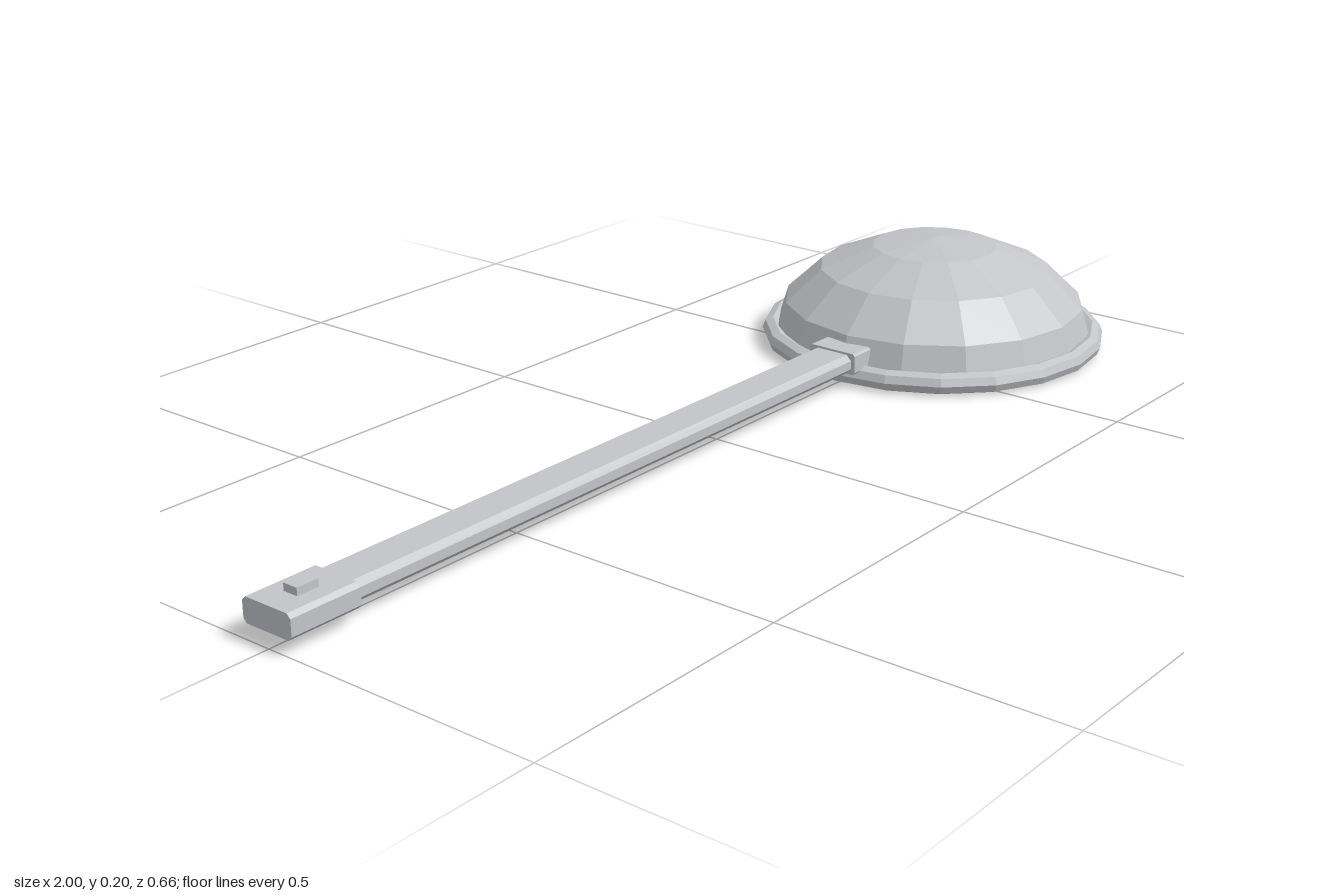
import * as THREE from 'three';

export function createModel() {
  const model = new THREE.Group();
  const metal = new THREE.MeshStandardMaterial({ color: 0xc2c4c8, flatShading: true });
  metal.name = 'brushed metal';

  const add = (name, geometry, x, y, z = 0) => {
    const mesh = new THREE.Mesh(geometry, metal);
    mesh.name = name;
    mesh.position.set(x, y, z);
    model.add(mesh);
    return mesh;
  };

  // Bar along x with chamfered long edges, centred on the origin
  const bar = (length, height, width, chamfer) => {
    const w = width / 2, h = height / 2, c = chamfer;
    const section = new THREE.Shape([
      [-w, -h + c], [-w + c, -h], [w - c, -h], [w, -h + c],
      [w, h - c], [w - c, h], [-w + c, h], [-w, h - c],
    ].map(([a, b]) => new THREE.Vector2(a, b)));
    return new THREE.ExtrudeGeometry(section, { depth: length, bevelEnabled: false })
      .translate(0, 0, -length / 2)
      .rotateY(Math.PI / 2);
  };

  // Upturned bowl: faceted half ellipsoid, closed underneath
  const bowlX = 0.672, baseY = 0.008;
  const dome = new THREE.SphereGeometry(0.31, 16, 4, 0, Math.PI * 2, 0, Math.PI / 2);
  dome.scale(1, 0.197 / 0.31, 1);
  add('bowl', dome, bowlX, baseY);
  add('bowlBase', new THREE.CircleGeometry(0.31, 16).rotateX(Math.PI / 2), bowlX, baseY);

  // Rolled rim
  add('rim', new THREE.TorusGeometry(0.308, 0.02, 8, 20).rotateX(Math.PI / 2), bowlX, 0.02);

  // Handle with collar, end grip and raised stud
  add('handle', bar(1.26, 0.036, 0.084, 0.01), -0.25, 0.048);
  add('collar', bar(0.05, 0.04, 0.1, 0.004), 0.364, 0.05);
  add('grip', bar(0.13, 0.042, 0.1, 0.007), -0.935, 0.047);
  add('stud', new THREE.BoxGeometry(0.04, 0.016, 0.028), -0.935, 0.073);

  return model;
}
